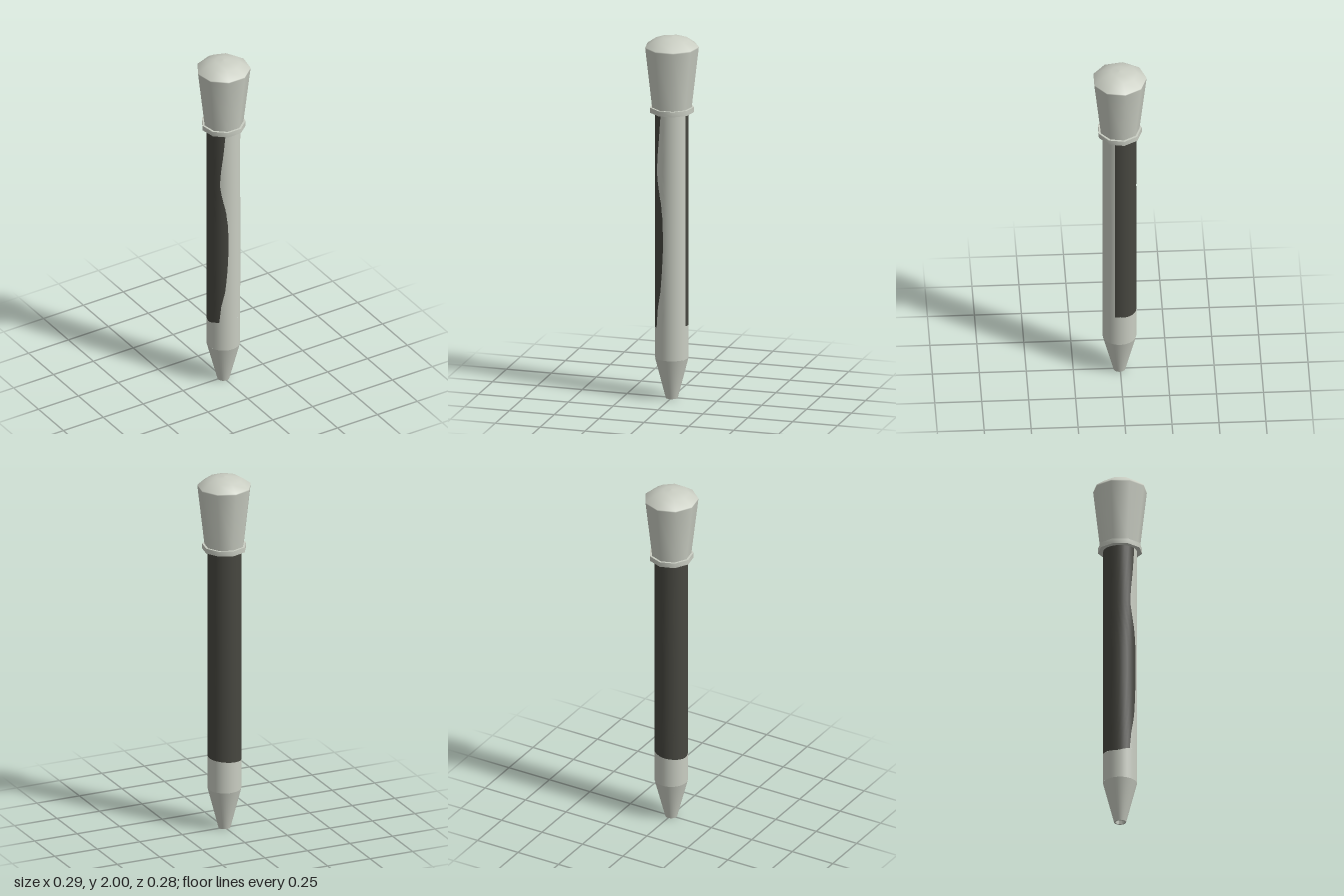
import * as THREE from 'three';
import { toCreasedNormals } from 'three/addons/utils/BufferGeometryUtils.js';

const R = 0.09;        // barrel radius
const TOP = 1.587;     // barrel top, under the collar
const SHOULDER = 0.226; // where the taper starts
const rad = THREE.MathUtils.degToRad;

// linear interpolation through a list of [key, value] pairs
function lookup(table, k) {
  for (let i = 1; i < table.length; i++) {
    const [k0, v0] = table[i - 1], [k1, v1] = table[i];
    if (k <= k1) return v0 + (v1 - v0) * Math.max(0, (k - k0) / (k1 - k0));
  }
  return table[table.length - 1][1];
}

// wavy edge of the dark wrap: height -> angle from the front, in degrees
const waveEdge = [[0.4, -46], [0.5, -39], [0.6, -25], [0.72, -18], [0.85, -14], [1, -15.5],
  [1.1, -23], [1.18, -35], [1.26, -44], [1.35, -40], [1.45, -32], [TOP, -24]];
// lower edge of the dark wrap: angle -> height
const lowEdge = [[-50, 0.4], [72, 0.41], [140, 0.404], [200, 0.395], [270, 0.382], [310, 0.4], [360, 0.4]];
const STRAIGHT = 72; // angle of the straight edge

// curved patch of the barrel; at(u, v) returns [angle in degrees, height]
function barrelPatch(at, nu, nv) {
  const pos = [], nor = [], idx = [];
  for (let j = 0; j <= nv; j++) {
    for (let i = 0; i <= nu; i++) {
      const [deg, y] = at(i / nu, j / nv);
      const s = Math.sin(rad(deg)), c = Math.cos(rad(deg));
      pos.push(R * s, y, R * c);
      nor.push(s, 0, c);
      if (i < nu && j < nv) {
        const a = j * (nu + 1) + i, b = a + nu + 1;
        idx.push(a, a + 1, b, a + 1, b + 1, b);
      }
    }
  }
  const g = new THREE.BufferGeometry();
  g.setAttribute('position', new THREE.Float32BufferAttribute(pos, 3));
  g.setAttribute('normal', new THREE.Float32BufferAttribute(nor, 3));
  g.setIndex(idx);
  return g;
}

function lathe(points, sides, startDeg = 0) {
  return new THREE.LatheGeometry(points.map(p => new THREE.Vector2(...p)), sides, rad(startDeg));
}

export function createModel() {
  const group = new THREE.Group();
  const light = new THREE.MeshStandardMaterial({ color: 0xc9cdc2 });
  light.name = 'pale grey';
  const dark = new THREE.MeshStandardMaterial({ color: 0x474740 });
  dark.name = 'charcoal';

  const add = (name, geometry, material) => {
    const mesh = new THREE.Mesh(geometry, material);
    mesh.name = name;
    mesh.position.z = 0.004;
    group.add(mesh);
  };

  // upper barrel, split along the wrap's edges
  const upper = (from, to) => (u, v) => {
    const edge = lookup(waveEdge, 0.4 + v * (TOP - 0.4));
    const a = from(edge), b = to(edge);
    const deg = a + (b - a) * u;
    const low = lookup(lowEdge, deg);
    return [deg, low + (TOP - low) * v];
  };
  add('darkWrap', barrelPatch(upper(() => STRAIGHT, e => 360 + e), 20, 48), dark);
  add('frontPanel', barrelPatch(upper(e => e, () => STRAIGHT), 12, 48), light);

  // lower barrel, below the wrap
  add('lowerBarrel', barrelPatch((u, v) => {
    const deg = -46 + 360 * u;
    return [deg, SHOULDER + (lookup(lowEdge, deg) - SHOULDER) * v];
  }, 36, 1), light);

  // tapered tip with a small recess at the end
  add('tip', lathe([[0.032, 0], [R, SHOULDER]], 36), light);
  add('tipRecess', toCreasedNormals(lathe([[0, 0.03], [0.022, 0.03], [0.024, 0], [0.032, 0]], 36), 0.6), light);

  // nine-sided collar and flared head, one corner pointing backwards
  add('collar', toCreasedNormals(
    lathe([[0.08, 1.585], [0.119, 1.585], [0.119, 1.613], [0.09, 1.613]], 9, 20), 0.8), light);
  add('head', lathe([[0.107, 1.612], [0.1445, 1.94], [0.1449, 1.947], [0.094, 1.983],
    [0.045, 1.996], [0, 2]], 9, 20), light);
  return group;
}
